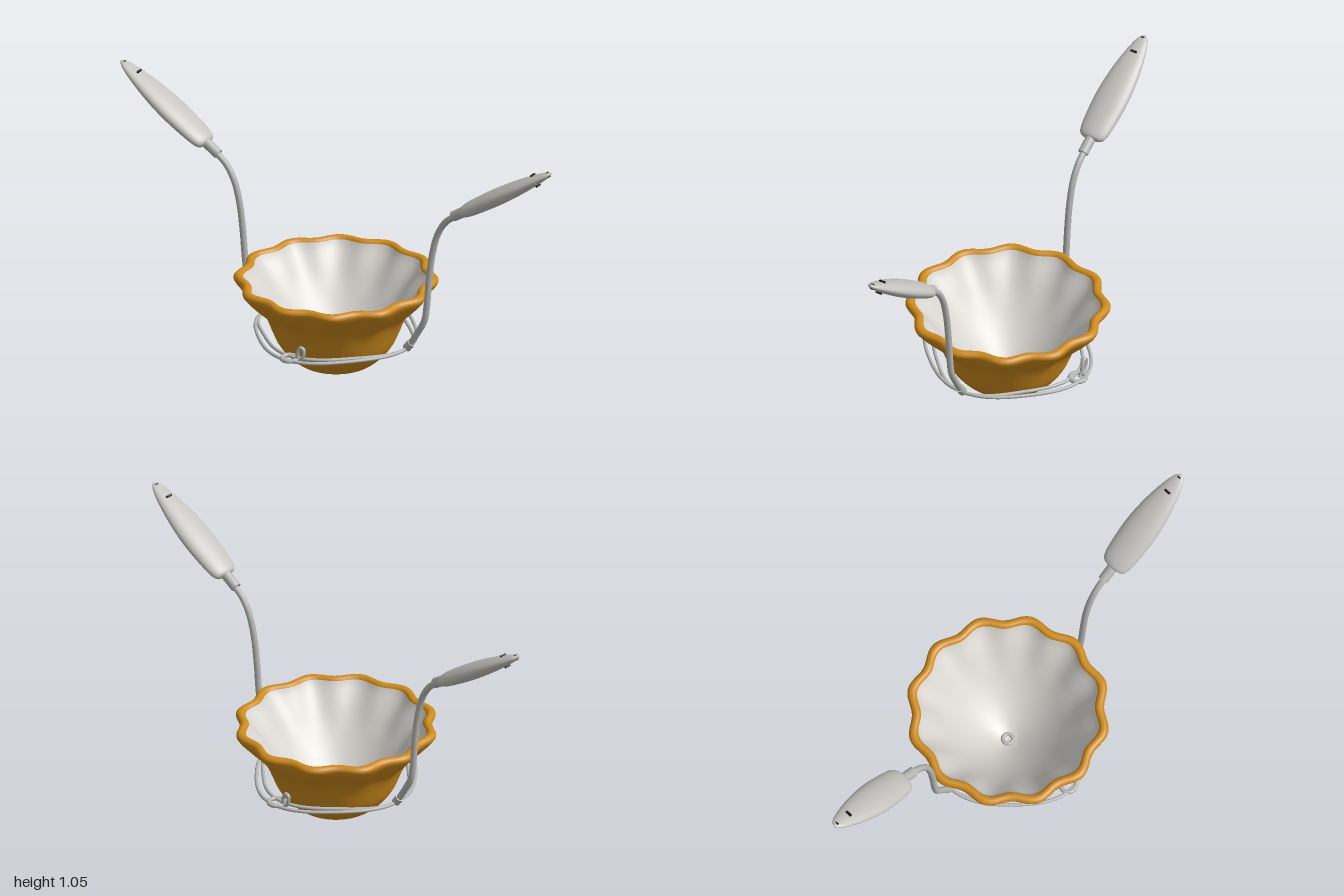
import * as THREE from 'three';
import { mergeVertices } from 'three/addons/utils/BufferGeometryUtils.js';

const mat = (name, color) => {
  const m = new THREE.MeshStandardMaterial({ color });
  m.name = name;
  return m;
};
const V = (x, y, z = 0) => new THREE.Vector3(x, y, z);

// Smooth lathe whose upper part is ruffled into twelve lobes
function ruffledBowl(points) {
  const curve = new THREE.SplineCurve(points.map(([r, y]) => new THREE.Vector2(r, y)));
  const profile = curve.getPoints(60).map((p) => new THREE.Vector2(Math.max(p.x, 0), Math.max(p.y, 0)));
  const geo = new THREE.LatheGeometry(profile, 144);
  const pos = geo.attributes.position;
  for (let i = 0; i < pos.count; i++) {
    const x = pos.getX(i), z = pos.getZ(i);
    const w = THREE.MathUtils.smoothstep(pos.getY(i), 0.16, 0.37);
    const k = 1 + 0.034 * w * Math.cos(12 * Math.atan2(z, x));
    pos.setX(i, x * k);
    pos.setZ(i, z * k);
  }
  geo.deleteAttribute('uv');
  geo.deleteAttribute('normal');
  const merged = mergeVertices(geo, 1e-5);
  merged.computeVertexNormals();
  return merged;
}

const tube = (pts, radius, closed = false, segments = 64) =>
  new THREE.TubeGeometry(new THREE.CatmullRomCurve3(pts, closed, 'centripetal'), segments, radius, 12, closed);

export function createModel() {
  const ochre = mat('ochre glaze', 0xcc8a1c);
  const white = mat('pale lining', 0xd8d5d0);
  const steel = mat('steel', 0xb6b6b4);
  const grey = mat('grip grey', 0xc4c3bf);
  const black = mat('black', 0x1c1c1c);

  const model = new THREE.Group();
  const add = (parent, name, geo, material) => {
    const mesh = new THREE.Mesh(geo, material);
    mesh.name = name;
    parent.add(mesh);
    return mesh;
  };
  // Cylinder between two points
  const rod = (parent, name, a, b, r, material) => {
    const d = b.clone().sub(a);
    const mesh = add(parent, name, new THREE.CylinderGeometry(r, r, d.length(), 20), material);
    mesh.position.copy(a).add(b).multiplyScalar(0.5);
    mesh.quaternion.setFromUnitVectors(V(0, 1), d.normalize());
    return mesh;
  };

  // Bowl: outer shell with rolled rim, then funnel-like lining
  add(model, 'bowlShell', ruffledBowl([
    [0, 0], [0.06, 0], [0.115, 0.001], [0.155, 0.017], [0.197, 0.055], [0.23, 0.1], [0.25, 0.145],
    [0.268, 0.19], [0.292, 0.235], [0.332, 0.278], [0.368, 0.32], [0.384, 0.343], [0.388, 0.357],
    [0.381, 0.368], [0.369, 0.372], [0.357, 0.368], [0.349, 0.356],
  ]), ochre);
  add(model, 'bowlLining', ruffledBowl([
    [0.351, 0.36], [0.335, 0.335], [0.292, 0.281], [0.242, 0.217], [0.182, 0.148],
    [0.115, 0.087], [0.045, 0.04], [0, 0.028],
  ]), white);
  const boss = add(model, 'centreRing', new THREE.TorusGeometry(0.02, 0.008, 10, 28), steel);
  boss.rotation.x = Math.PI / 2;
  boss.position.y = 0.036;

  // Cradle: two wire hoops meeting at the handles, drawn in on the diagonals
  for (const [rz, pinch] of [[0.308, 0.11], [0.348, 0.085]]) {
    const pts = [];
    for (let i = 0; i < 32; i++) {
      const a = (i / 32) * Math.PI * 2;
      const k = 1 - pinch * Math.sin(2 * a) ** 2;
      pts.push(V(0.33 * k * Math.cos(a), 0.137, rz * k * Math.sin(a)));
    }
    add(model, 'cradleHoop', tube(pts, 0.007, true, 128), steel);
  }

  // Everything below repeats after a half turn
  for (const turn of [0, Math.PI]) {
    const side = new THREE.Group();
    side.name = turn ? 'rightHandle' : 'leftHandle';
    side.rotation.y = turn;
    model.add(side);

    // Bent handle rod with its collars
    add(side, 'handleRod', tube([
      V(0.335, 0.145), V(0.375, 0.21), V(0.41, 0.275), V(0.42, 0.33), V(0.432, 0.46), V(0.447, 0.57),
      V(0.472, 0.66), V(0.51, 0.722), V(0.56, 0.762),
    ], 0.013), steel);
    rod(side, 'lowerCollar', V(0.328, 0.139), V(0.349, 0.167), 0.017, steel);
    add(side, 'lowerJoint', new THREE.SphereGeometry(0.016, 18, 12), steel).position.set(0.33, 0.143, 0);
    rod(side, 'gripCollar', V(0.545, 0.755), V(0.615, 0.8), 0.021, steel);

    // Flattened tapering grip
    const grip = new THREE.Group();
    grip.name = 'grip';
    grip.position.set(0.598, 0.79, 0);
    grip.rotation.z = -Math.atan2(0.395, 0.255);
    side.add(grip);
    const outline = new THREE.SplineCurve([
      [0, 0], [0.036, 0.001], [0.054, 0.014], [0.063, 0.045], [0.068, 0.1], [0.071, 0.17], [0.068, 0.24],
      [0.058, 0.32], [0.041, 0.4], [0.022, 0.455], [0, 0.476],
    ].map(([r, y]) => new THREE.Vector2(r, y))).getPoints(50);
    outline.forEach((p) => { p.x = Math.max(p.x, 0); });
    const body = new THREE.LatheGeometry(outline, 40);
    body.scale(0.47, 1, 1);
    add(grip, 'gripBody', body, grey);

    // Dark slots near the tip
    add(grip, 'hangingSlot', new THREE.BoxGeometry(0.054, 0.008, 0.026), black).position.y = 0.389;
    add(grip, 'tipSlot', new THREE.BoxGeometry(0.022, 0.005, 0.014), black).position.y = 0.46;

    // Knot and upright hairpin loop on the cradle
    const knot = add(side, 'cradleKnot', new THREE.TorusGeometry(0.031, 0.009, 10, 28), steel);
    knot.rotation.x = Math.PI / 2;
    knot.position.set(-0.005, 0.137, 0.326);
    add(side, 'hairpinLoop', tube([
      V(0.012, 0.124, 0.324), V(0.027, 0.145, 0.324), V(0.033, 0.175, 0.324), V(0.045, 0.192, 0.324),
      V(0.058, 0.186, 0.324), V(0.057, 0.165, 0.324), V(0.047, 0.142, 0.324), V(0.03, 0.128, 0.324),
    ], 0.0075), steel);
  }
  return model;
}
